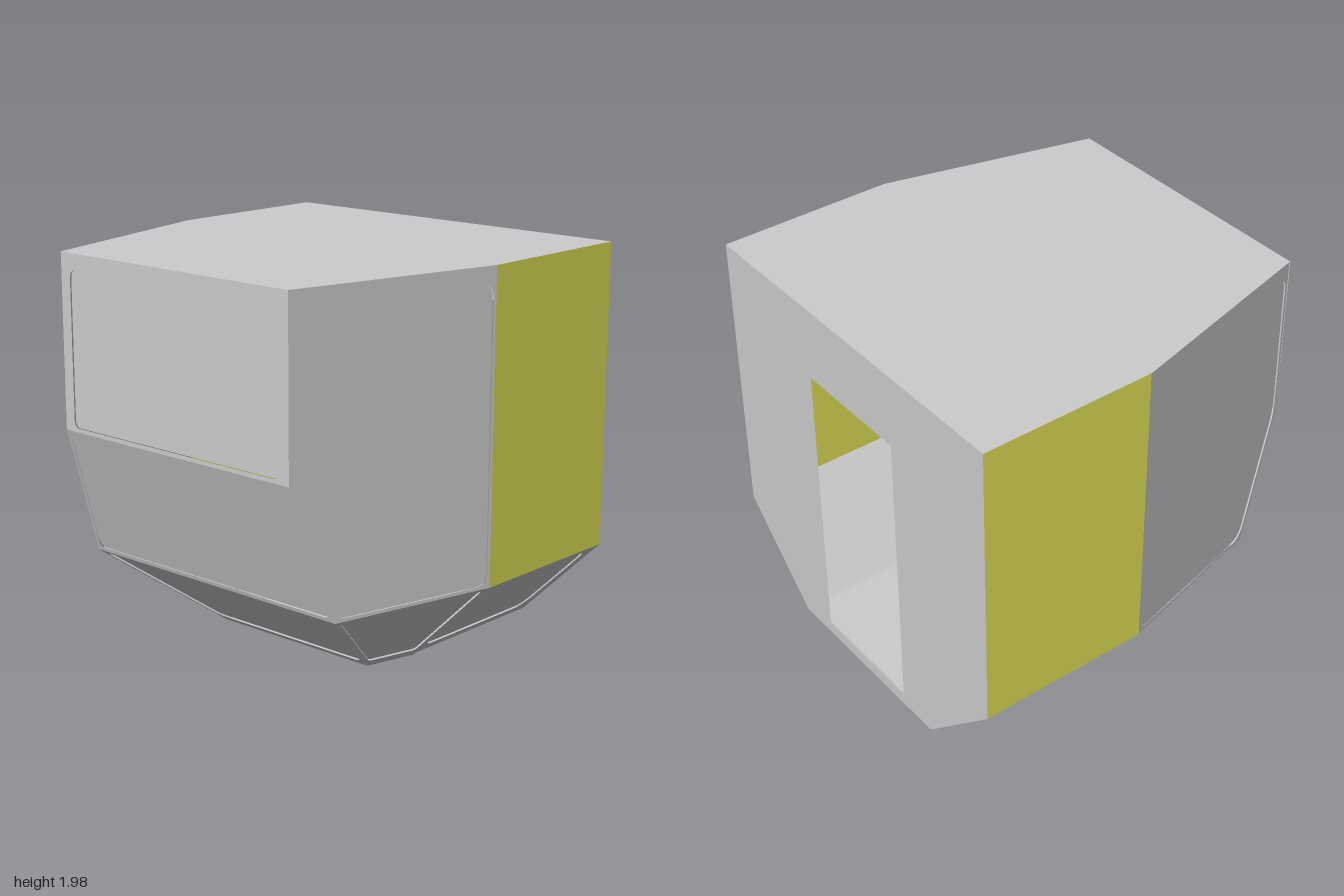
import * as THREE from 'three';

const grey = new THREE.MeshStandardMaterial({ color: 0xcccccc, side: THREE.DoubleSide });
const yellow = new THREE.MeshStandardMaterial({ color: 0xe6e65a, side: THREE.DoubleSide });
const V = (x, y, z) => new THREE.Vector3(x, y, z);

// Move every edge of a counter-clockwise polygon inwards by its own margin
function insetPolygon(pts, margins) {
  const n = pts.length;
  const lines = pts.map((p, i) => {
    const d = pts[(i + 1) % n].clone().sub(p).normalize();
    return { p: p.clone().add(new THREE.Vector2(-d.y, d.x).multiplyScalar(margins[i])), d };
  });
  return lines.map((b, i) => {
    const a = lines[(i + n - 1) % n];
    const t = b.p.clone().sub(a.p).cross(b.d) / a.d.cross(b.d);
    return a.p.clone().addScaledVector(a.d, t);
  });
}

// Trace a polygon with rounded corners
function roundedPath(path, pts, r) {
  const n = pts.length;
  pts.forEach((p, i) => {
    const towards = (q) => p.clone().add(q.clone().sub(p).setLength(r));
    const a = towards(pts[(i + n - 1) % n]), b = towards(pts[(i + 1) % n]);
    if (i === 0) path.moveTo(a.x, a.y); else path.lineTo(a.x, a.y);
    path.quadraticCurveTo(p.x, p.y, b.x, b.y);
  });
  path.closePath();
  return path;
}

// Flat hull panel; with margins it becomes a frame around a recessed, rounded pane
function panel(name, corners, margins, r = 0.04, material = grey) {
  const group = new THREE.Group();
  group.name = name;
  let pts = corners.slice();
  const faceNormal = (c) => c[1].clone().sub(c[0]).cross(c[2].clone().sub(c[0])).normalize();
  const centre = pts.reduce((s, p) => s.add(p), V(0, 0, 0)).divideScalar(pts.length);
  let normal = faceNormal(pts);
  if (normal.dot(centre.clone().sub(V(0, 1, 0))) < 0) {
    // keep the corners counter-clockwise from outside, margins follow their edges
    pts.reverse();
    if (margins) margins = margins.map((_, i) => margins[(2 * pts.length - 2 - i) % pts.length]);
    normal = faceNormal(pts);
  }
  const u = pts[1].clone().sub(pts[0]).normalize();
  const v = normal.clone().cross(u);
  group.applyMatrix4(new THREE.Matrix4().makeBasis(u, v, normal).setPosition(pts[0]));
  const flat = pts.map((p) => {
    const d = p.clone().sub(pts[0]);
    return new THREE.Vector2(d.dot(u), d.dot(v));
  });
  const outline = new THREE.Shape(flat);
  const add = (geometry, part, z) => {
    const mesh = new THREE.Mesh(geometry, material);
    mesh.name = part;
    mesh.position.z = z;
    group.add(mesh);
  };
  if (margins) {
    const inner = insetPolygon(flat, margins);
    outline.holes.push(roundedPath(new THREE.Path(), inner, r));
    const pane = roundedPath(new THREE.Shape(), inner, r);
    add(new THREE.ExtrudeGeometry(pane, { depth: 0.004, bevelEnabled: false }), 'pane', -0.012);
  }
  add(new THREE.ShapeGeometry(outline), 'frame', 0);
  return group;
}

export function createModel() {
  const model = new THREE.Group();
  model.name = 'cabin';
  const top = 1.98, brow = 1.12, belt = 0.45;
  const back = -0.99, mid = -0.09;

  // Roof and floor
  model.add(panel('roof', [V(-1, top, back), V(-1, top, mid), V(-0.73, top, 0.99),
    V(0.73, top, 0.99), V(1, top, mid), V(1, top, back)]));
  model.add(panel('floor', [V(-0.54, 0, back), V(-0.54, 0, mid), V(-0.48, 0, 0.18),
    V(0.48, 0, 0.18), V(0.54, 0, mid), V(0.54, 0, back)]));

  // Front, from the top down
  model.add(panel('upperFront', [V(-0.73, brow, 0.99), V(0.73, brow, 0.99),
    V(0.73, top, 0.99), V(-0.73, top, 0.99)], [0.02, 0.06, 0.08, 0.06]));
  model.add(panel('middleFront', [V(-0.79, belt, 0.76), V(0.79, belt, 0.76),
    V(0.73, brow, 0.99), V(-0.73, brow, 0.99)], [0.02, 0.02, 0.02, 0.02]));
  model.add(panel('lowerFront', [V(-0.48, 0, 0.18), V(0.48, 0, 0.18),
    V(0.79, belt, 0.76), V(-0.79, belt, 0.76)], [0.06, 0.025, 0.025, 0.025]));

  // Both sides
  for (const [side, s] of [['left', 1], ['right', -1]]) {
    model.add(panel(side + 'RearWall', [V(s, belt, back), V(s, belt, mid),
      V(s, top, mid), V(s, top, back)], null, 0, yellow));
    model.add(panel(side + 'FrontWall', [V(s, belt, mid), V(s * 0.79, belt, 0.76),
      V(s * 0.73, brow, 0.99), V(s * 0.73, top, 0.99), V(s, top, mid)],
    [0.015, 0.015, 0.015, 0.08, 0.015], 0.07));
    model.add(panel(side + 'LowerRear', [V(s * 0.54, 0, back), V(s * 0.54, 0, mid),
      V(s, belt, mid), V(s, belt, back)], [0.07, 0.015, 0.03, 0.08], 0.08));
    const a = V(s, belt, mid), b = V(s * 0.79, belt, 0.76);
    const c = V(s * 0.48, 0, 0.18), d = V(s * 0.54, 0, mid);
    model.add(panel(side + 'LowerFront', [d, c, b, a], [0.06, 0.02, 0.02, 0.03], 0.02));

    // Thin slats along the inside of the lower front panel
    for (const t of [0.3, 0.56, 0.82]) {
      const lift = V(-s * 0.014, 0.014, 0);
      const p = a.clone().lerp(d, t).add(lift), q = b.clone().lerp(c, t).add(lift);
      const path = new THREE.LineCurve3(p.clone().lerp(q, 0.05), p.clone().lerp(q, 0.93));
      const slat = new THREE.Mesh(new THREE.TubeGeometry(path, 1, 0.006, 6), grey);
      slat.name = side + 'Slat';
      model.add(slat);
    }
  }

  // Rear wall with an open doorway
  const wall = new THREE.Shape([[-0.54, 0], [0.54, 0], [1, belt], [1, top], [-1, top], [-1, belt]]
    .map(([x, y]) => new THREE.Vector2(x, y)));
  wall.holes.push(new THREE.Path([[-0.32, 0.07], [-0.32, 1.6], [0.32, 1.6], [0.32, 0.07]]
    .map(([x, y]) => new THREE.Vector2(x, y))));
  const rear = new THREE.Mesh(new THREE.ShapeGeometry(wall), grey);
  rear.name = 'rearWall';
  rear.position.z = back;
  model.add(rear);
  return model;
}
